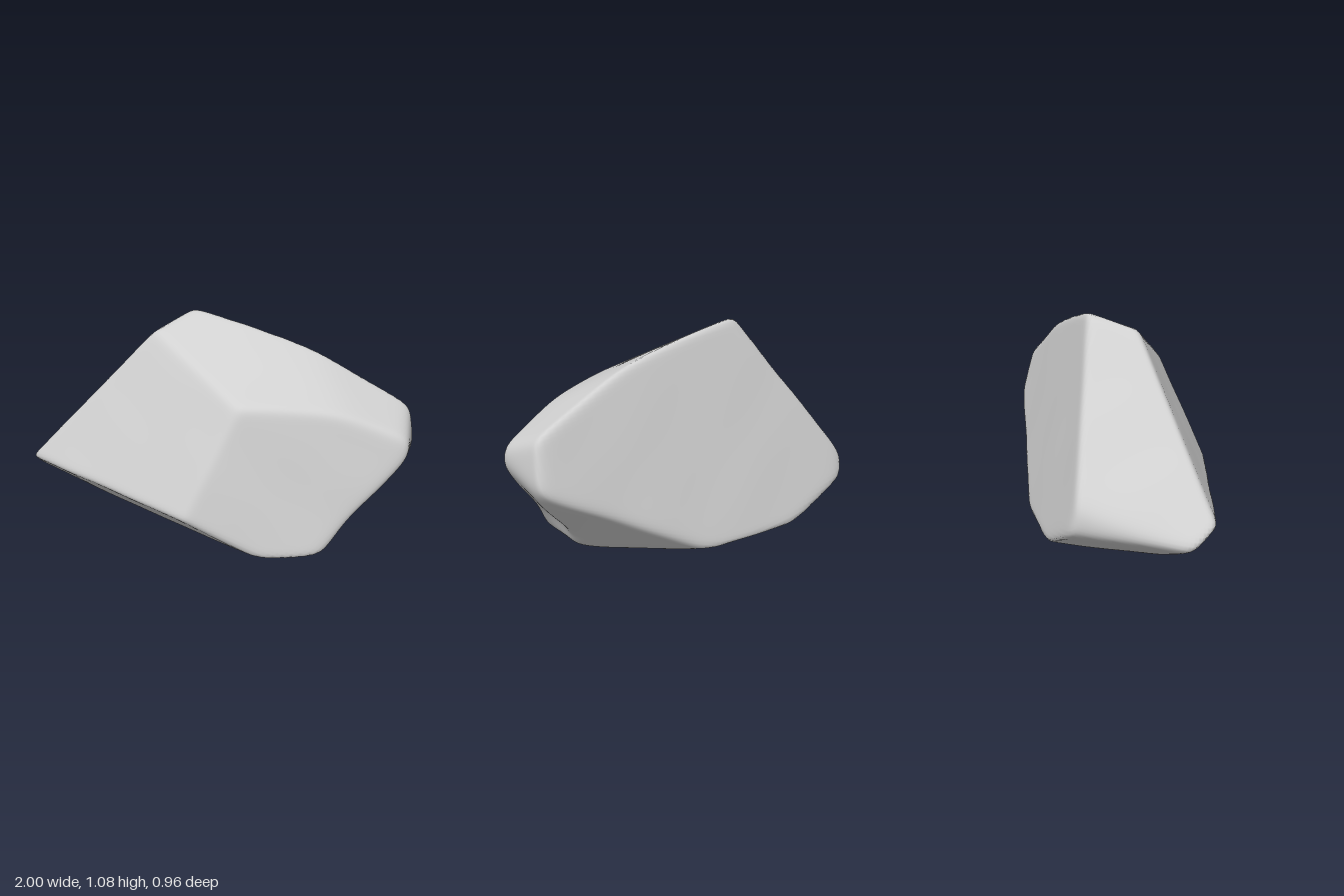
import * as THREE from 'three';
import { mergeVertices } from 'three/addons/utils/BufferGeometryUtils.js';

const V = (x, y, z) => new THREE.Vector3(x, y, z);
const CENTER = V(0, 0.45, 0);

// Facet through three points, as an outward normal divided by its distance from the centre.
function facet(a, b, c) {
  const plane = new THREE.Plane().setFromCoplanarPoints(V(...a), V(...b), V(...c));
  return plane.normal.clone().divideScalar(-plane.distanceToPoint(CENTER));
}

// Facet from a direction and a point.
function cut(normal, point) {
  const n = V(...normal).normalize();
  return n.clone().divideScalar(n.dot(V(...point).sub(CENTER)));
}

const facets = [
  facet([-0.97, 0.26, 0.135], [0.03, 0.25, 0.495], [-0.3, 1.015, 0]), // broad front
  facet([0.03, 0.25, 0.495], [0.28, 0.79, 0.29], [0.94, 0.45, 0.075]), // front, left half
  facet([-0.97, 0.26, 0.135], [0.03, 0.25, 0.495], [0.35, 0.04, 0.37]), // front undercut
  facet([-0.3, 1.02, 0], [0.28, 0.8, 0.28], [0, 1.065, -0.2]), // crown
  facet([0.28, 0.8, 0.28], [0.55, 0.79, 0.13], [0.1, 1.05, -0.2]), // shoulder
  facet([0.95, 0.68, -0.1], [0.62, 0.88, -0.2], [0.6, 0.8, 0.13]), // nose top
  facet([-0.2, 1.04, -0.225], [0.9, 0.66, -0.25], [-0.6, 0.05, -0.495]), // back
  facet([0.3, 0.1, -0.43], [0.89, 0.42, -0.32], [0.63, 0.04, -0.1]), // back undercut
  facet([-0.3, 1.015, 0], [-0.98, 0.27, 0.13], [-0.74, 0.32, -0.43]), // slanted side
  cut([0.8, -0.55, 0.1], [0.95, 0.42, 0]), // nose undercut
  cut([1, 0.15, -0.1], [1.005, 0.55, -0.12]), // nose
  cut([-0.4, -0.85, -0.3], [-0.85, 0.09, 0]), // tail undercut
  cut([-0.84, 0, -0.54], [-1.02, 0.18, 0]), // tail end
  cut([0, -1, 0], [0, -0.015, 0]), // base, slightly bowed
  cut([0.12, -1, 0], [0.3, 0, 0]),
  cut([-0.12, -1, 0], [-0.4, 0, 0]),
  cut([0, -1, 0.1], [0, 0, 0.05]),
  cut([0, -1, -0.1], [0, 0, -0.2]),
];

// Blend the facets into one worn stone with softly rounded edges.
function stoneGeometry() {
  let geo = new THREE.IcosahedronGeometry(1, 44);
  geo.deleteAttribute('normal');
  geo.deleteAttribute('uv');
  geo = mergeVertices(geo, 1e-5);
  const pos = geo.attributes.position;
  const p = V();
  const spread = V(1, 0.55, 0.5);
  const dent = V(0.8, 0.2, 0);
  const POWER = 40;
  for (let i = 0; i < pos.count; i++) {
    p.fromBufferAttribute(pos, i).multiply(spread).normalize();
    let sum = 0;
    for (const f of facets) sum += Math.max(0, f.dot(p)) ** POWER;
    p.multiplyScalar(sum ** (-1 / POWER));
    // Gentle surface waviness and a hollow under the nose
    const wave = Math.sin(9 * p.x + 4 * p.y) * Math.sin(8 * p.y - 5 * p.z + 1) * Math.cos(7 * p.z + 3 * p.x);
    p.multiplyScalar(1 + 0.006 * wave).add(CENTER);
    p.x -= 0.05 * Math.exp(-p.distanceToSquared(dent) / 0.025);
    pos.setXYZ(i, p.x, p.y, p.z);
  }
  geo.computeVertexNormals();
  return geo;
}

export function createModel() {
  const group = new THREE.Group();
  group.name = 'rock';
  const stoneGrey = new THREE.MeshStandardMaterial({ color: 0xd1d1d1 });
  stoneGrey.name = 'stoneGrey';
  const stone = new THREE.Mesh(stoneGeometry(), stoneGrey);
  stone.name = 'stone';
  group.add(stone);
  return group;
}
